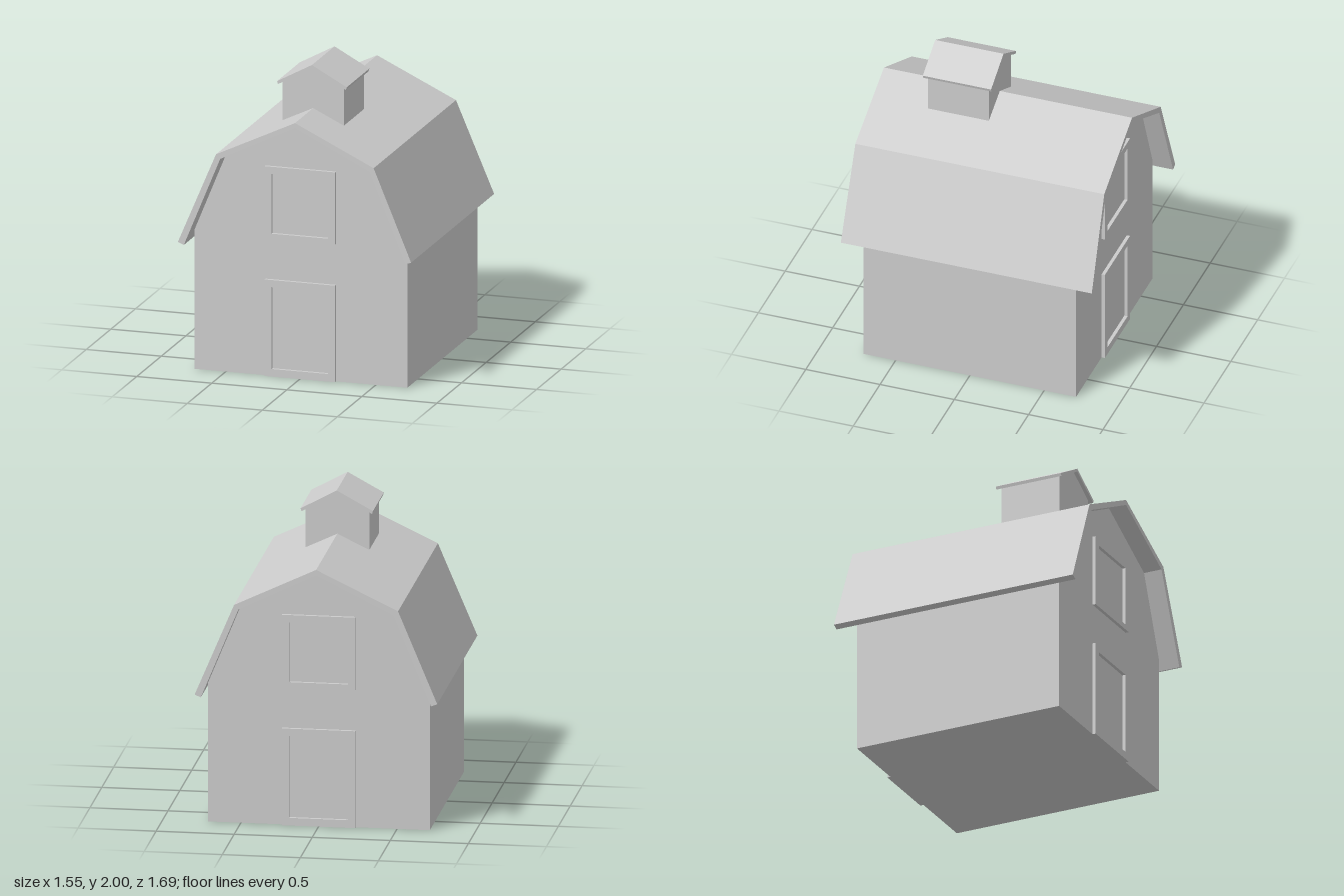
import * as THREE from 'three';

const material = new THREE.MeshStandardMaterial({ color: 0xcccccc, flatShading: true });

// Closed outline from the right half of a symmetric profile (listed top centre outward)
const mirrored = (half) => [
  ...half,
  ...half.filter(([x]) => x > 0).reverse().map(([x, y]) => [-x, y]),
];

// Roof band: outer profile, down to the eaves, back along the inner profile
const band = (outer, inner) => {
  const flip = (p) => p.filter(([x]) => x > 0).map(([x, y]) => [-x, y]);
  const across = (p) => [...flip(p).reverse(), ...p];
  return [...across(outer), ...across(inner).reverse()];
};

// Extrude an outline along z between two depths
function prism(name, outline, z0, z1, hole) {
  const toVec = ([x, y]) => new THREE.Vector2(x, y);
  const shape = new THREE.Shape(outline.map(toVec));
  if (hole) shape.holes.push(new THREE.Path(hole.map(toVec)));
  const geometry = new THREE.ExtrudeGeometry(shape, { depth: z1 - z0, bevelEnabled: false });
  geometry.translate(0, 0, z0);
  const mesh = new THREE.Mesh(geometry, material);
  mesh.name = name;
  return mesh;
}

const rect = (w, y0, y1) => [[-w, y0], [w, y0], [w, y1], [-w, y1]];

export function createModel() {
  const barn = new THREE.Group();
  barn.name = 'barn';

  // Walls with gambrel gables
  barn.add(prism('walls', mirrored([[0, 1.675], [0.497, 1.432], [0.71, 0.912], [0.71, 0]]), -0.715, 0.715));

  // Gambrel roof, overhanging slightly more towards the eaves
  const roof = prism('roof', band(
    [[0, 1.71], [0.525, 1.46], [0.777, 0.863]],
    [[0, 1.675], [0.497, 1.432], [0.737, 0.847]],
  ), -1, 1);
  const pos = roof.geometry.attributes.position;
  for (let i = 0; i < pos.count; i++) {
    pos.setZ(i, pos.getZ(i) * (0.835 + 0.01 * (1.71 - pos.getY(i)) / 0.863));
  }
  roof.geometry.computeVertexNormals();
  barn.add(roof);

  // Framed door and loft hatch on both gable ends
  for (const [side, turn] of [['front', 0], ['back', Math.PI]]) {
    const end = new THREE.Group();
    end.name = side + 'Openings';
    end.add(prism('doorFrame', rect(0.235, 0, 0.635), 0.71, 0.737, rect(0.188, 0.05, 0.588)));
    end.add(prism('hatchFrame', rect(0.235, 0.905, 1.38), 0.71, 0.737, rect(0.188, 0.94, 1.333)));
    end.rotation.y = turn;
    barn.add(end);
  }

  // Cupola straddling the ridge, nearer the front
  const cupola = new THREE.Group();
  cupola.name = 'cupola';
  cupola.add(prism('cupolaWalls', mirrored([[0, 1.98], [0.205, 1.866], [0.205, 1.6]]), 0.055, 0.465));
  cupola.add(prism('cupolaRoof', band(
    [[0, 2], [0.232, 1.874]],
    [[0, 1.98], [0.226, 1.855]],
  ), 0.03, 0.49));
  barn.add(cupola);

  return barn;
}
